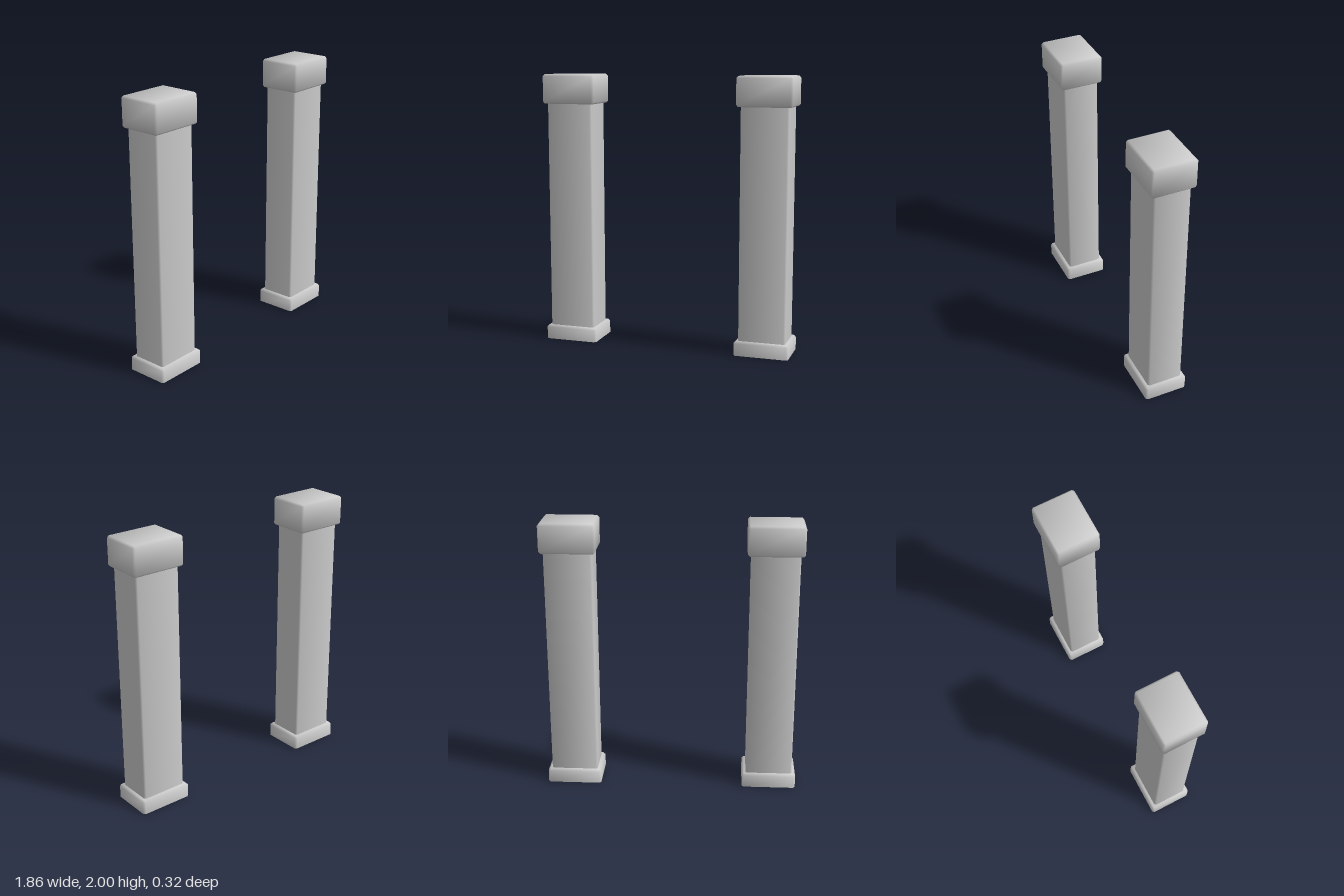
import * as THREE from 'three';

const material = new THREE.MeshStandardMaterial({ color: 0xcccccc });

// Rectangle outline with chamfered corners, counter-clockwise from above
function ring(hx, hz, y, inset, bevel) {
  const points = [];
  [[1, -1], [-1, -1], [-1, 1], [1, 1]].forEach(([sx, sz], k) => {
    const xSide = new THREE.Vector3(sx * (hx - inset), y, sz * (hz - bevel));
    const zSide = new THREE.Vector3(sx * (hx - bevel), y, sz * (hz - inset));
    points.push(...(k % 2 ? [zSide, xSide] : [xSide, zSide]));
  });
  return points;
}

// Bevelled block with normals averaged equally over the faces at each corner
function bevelledBlock(width, depth, y0, y1, bevel, bevelTop, bevelBottom) {
  const hx = width / 2, hz = depth / 2;
  const rings = [];
  if (bevelBottom) rings.push(ring(hx, hz, y0, bevel, bevel));
  rings.push(ring(hx, hz, bevelBottom ? y0 + bevel : y0, 0, bevel));
  rings.push(ring(hx, hz, bevelTop ? y1 - bevel : y1, 0, bevel));
  if (bevelTop) rings.push(ring(hx, hz, y1, bevel, bevel));

  const faces = [];
  for (let r = 0; r < rings.length - 1; r++) {
    for (let j = 0; j < 8; j++) {
      const k = (j + 1) % 8;
      faces.push({ pts: [rings[r][j], rings[r][k], rings[r + 1][k], rings[r + 1][j]], group: 'soft' });
    }
  }
  faces.push({ pts: rings[rings.length - 1], group: bevelTop ? 'soft' : 'top' });
  faces.push({ pts: [...rings[0]].reverse(), group: bevelBottom ? 'soft' : 'bottom' });

  const sums = new Map();
  const key = (p, group) => group + p.toArray().map(v => v.toFixed(4)).join();
  for (const { pts, group } of faces) {
    const n = new THREE.Vector3();
    pts.forEach((p, i) => n.add(p.clone().cross(pts[(i + 1) % pts.length])));
    n.normalize();
    for (const id of new Set(pts.map(p => key(p, group)))) {
      if (!sums.has(id)) sums.set(id, new THREE.Vector3());
      sums.get(id).add(n);
    }
  }

  const positions = [], normals = [];
  for (const { pts, group } of faces) {
    for (let i = 1; i < pts.length - 1; i++) {
      const tri = [pts[0], pts[i], pts[i + 1]];
      const area = tri[1].clone().sub(tri[0]).cross(tri[2].clone().sub(tri[0])).length();
      if (area < 1e-9) continue;
      for (const p of tri) {
        positions.push(...p.toArray());
        normals.push(...sums.get(key(p, group)).clone().normalize().toArray());
      }
    }
  }
  const geometry = new THREE.BufferGeometry();
  geometry.setAttribute('position', new THREE.Float32BufferAttribute(positions, 3));
  geometry.setAttribute('normal', new THREE.Float32BufferAttribute(normals, 3));
  return geometry;
}

export function createModel() {
  const model = new THREE.Group();
  model.name = 'pillarPair';

  const parts = {
    base: bevelledBlock(0.4, 0.32, 0, 0.105, 0.015, true, false),
    shaft: bevelledBlock(0.344, 0.264, 0.1, 1.79, 0.012, false, false),
    capital: bevelledBlock(0.4, 0.32, 1.785, 2, 0.015, true, true),
  };

  // One pillar on each side
  for (const [name, side] of [['leftPillar', 1], ['rightPillar', -1]]) {
    const pillar = new THREE.Group();
    pillar.name = name;
    pillar.position.x = side * 0.732;
    for (const [part, geometry] of Object.entries(parts)) {
      const mesh = new THREE.Mesh(geometry, material);
      mesh.name = part;
      pillar.add(mesh);
    }
    model.add(pillar);
  }
  return model;
}
